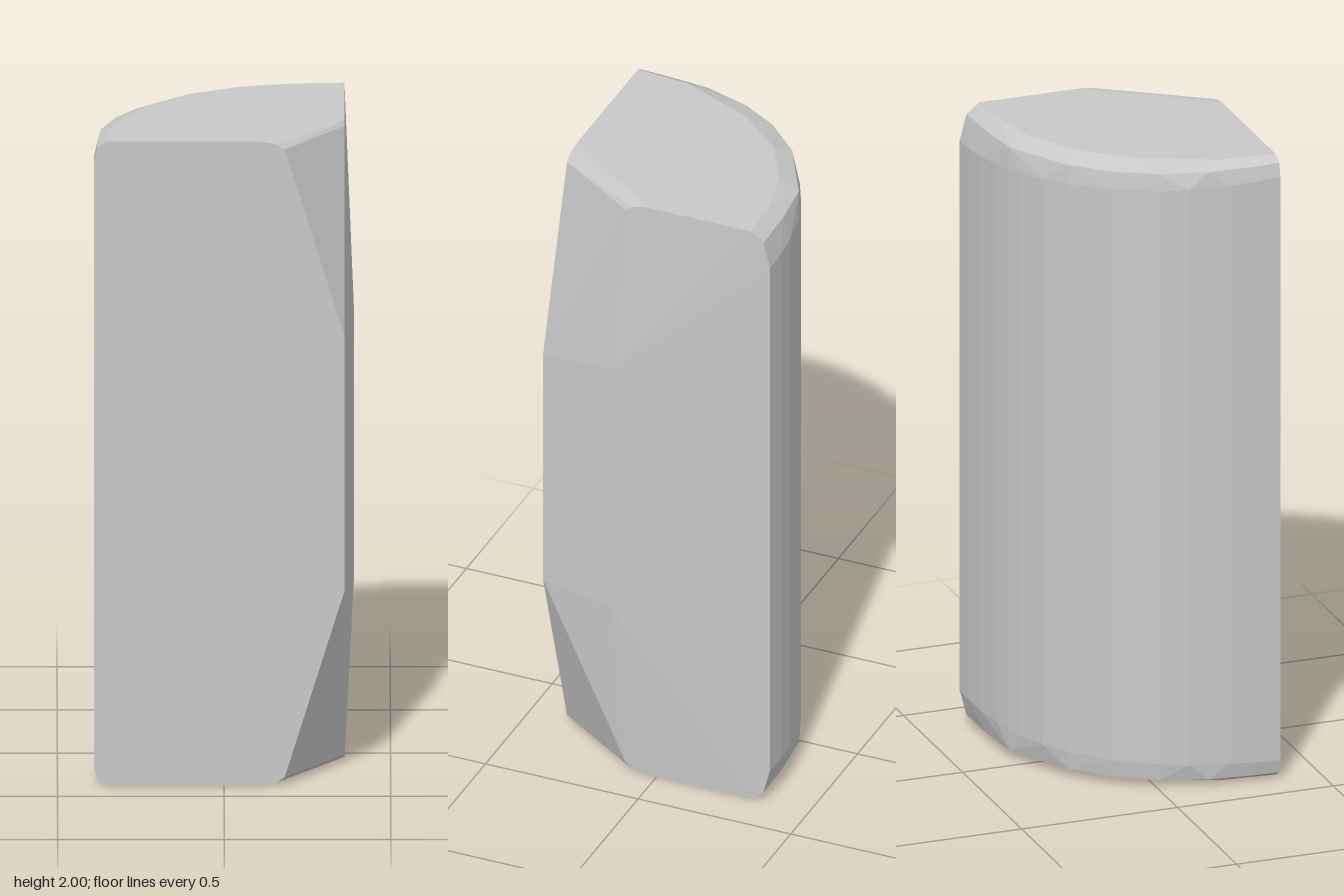
import * as THREE from 'three';
import { ConvexGeometry } from 'three/addons/geometries/ConvexGeometry.js';

// Quarter-round block: flat front, curved back, slightly bowed side, cut corners.
export function createModel() {
  const group = new THREE.Group();
  const stone = new THREE.MeshStandardMaterial({ color: 0xc8c8c8, flatShading: true });
  stone.name = 'light grey';

  // Plan outlines [x, z] of the curved side, from front left to back right
  const wall = [[-0.39, 0.372], [-0.39, 0.3], [-0.384, 0.21], [-0.365, 0.09], [-0.335, 0.01],
    [-0.265, -0.115], [-0.155, -0.225], [-0.08, -0.276], [0, -0.315], [0.05, -0.335],
    [0.1, -0.349], [0.2, -0.366], [0.28, -0.372], [0.362, -0.372]];
  const bevel = [[-0.381, 0.372], [-0.38, 0.29], [-0.37, 0.15], [-0.325, 0.005],
    [-0.26, -0.108], [-0.152, -0.219], [0.05, -0.33], [0.2, -0.346], [0.362, -0.35]];
  const cap = [[-0.35, 0.372], [-0.335, 0.2], [-0.235, -0.03], [-0.105, -0.18],
    [0.05, -0.265], [0.2, -0.3], [0.362, -0.31]];
  // Rounded lip of the cut corner: [x on the front, z on the side, distance from the end]
  const lip = [[0.1, 0.025, 0], [0.135, 0.055, 0.004], [0.16, 0.08, 0.01], [0.182, 0.1, 0.025]];

  const points = [];
  for (const end of [0, 1]) {
    const add = (x, d, z) => points.push(new THREE.Vector3(x, end ? 2 - d : d, z));
    wall.forEach(([x, z], i) => add(x, 0.06 + 0.055 * i / (wall.length - 1), z));
    bevel.forEach(([x, z], i) => add(x, 0.018 + 0.014 * i / (bevel.length - 1), z));
    cap.forEach(([x, z]) => add(x, 0, z));
    lip.forEach(([x, z, d]) => { add(x, d, 0.372); add(0.362, d, z); });
    add(0.362, 0.605, 0.372); // front corner
    add(0.39, 0.58, 0.14);    // crest of the bowed side
  }

  const block = new THREE.Mesh(new ConvexGeometry(points), stone);
  block.name = 'block';
  group.add(block);
  return group;
}
